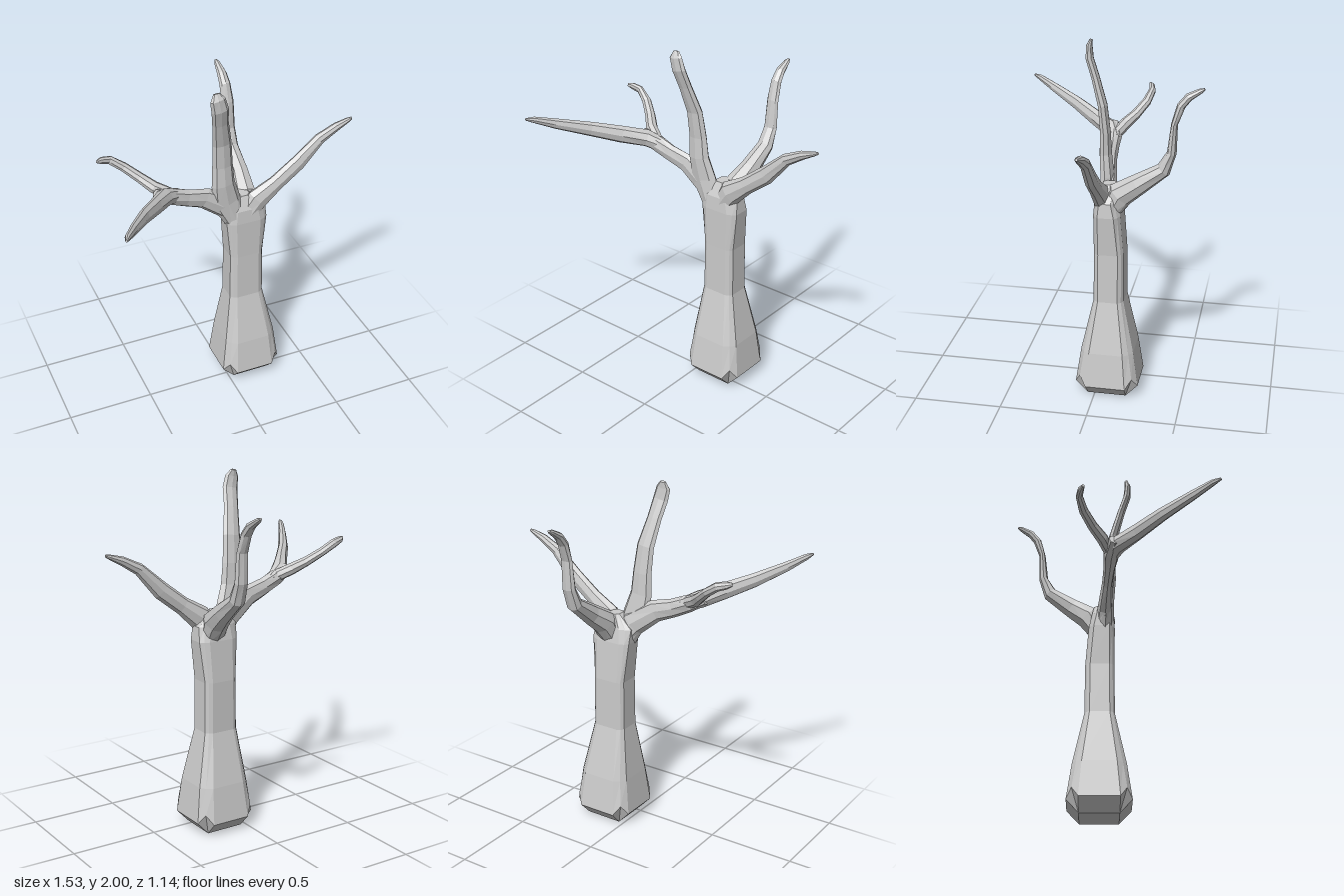
import * as THREE from 'three';

const material = new THREE.MeshStandardMaterial({ color: 0xcccccc, flatShading: true });

// Skin a list of rings (arrays of Vector3, counter-clockwise about the path) and close both ends
function skin(name, rings) {
  const pos = [];
  const tri = (...pts) => pts.forEach((p) => pos.push(p.x, p.y, p.z));
  const n = rings[0].length;
  for (let i = 0; i < rings.length - 1; i++) {
    for (let j = 0; j < n; j++) {
      const k = (j + 1) % n;
      const [a, b, c, d] = [rings[i][j], rings[i][k], rings[i + 1][k], rings[i + 1][j]];
      tri(a, b, c);
      tri(a, c, d);
    }
  }
  const centre = (ring) => ring.reduce((s, p) => s.add(p), new THREE.Vector3()).divideScalar(n);
  const first = rings[0], last = rings[rings.length - 1];
  const c0 = centre(first), c1 = centre(last);
  for (let j = 0; j < n; j++) {
    const k = (j + 1) % n;
    tri(c0, first[k], first[j]);
    tri(c1, last[j], last[k]);
  }
  const geometry = new THREE.BufferGeometry();
  geometry.setAttribute('position', new THREE.Float32BufferAttribute(pos, 3));
  geometry.computeVertexNormals();
  const mesh = new THREE.Mesh(geometry, material);
  mesh.name = name;
  return mesh;
}

// Tapering limb; each station is [x, y, z, half-width along side, half-depth across it]
function limb(name, side, stations, sides = 8) {
  const pts = stations.map((s) => new THREE.Vector3(s[0], s[1], s[2]));
  const rings = stations.map(([, , , a, b], i) => {
    const t = pts[Math.min(i + 1, pts.length - 1)].clone().sub(pts[Math.max(i - 1, 0)]).normalize();
    const u = new THREE.Vector3(...side);
    u.addScaledVector(t, -u.dot(t)).normalize();
    const v = t.clone().cross(u);
    return Array.from({ length: sides }, (_, j) => {
      const w = (j / sides) * Math.PI * 2;
      return pts[i].clone().addScaledVector(u, a * Math.cos(w)).addScaledVector(v, b * Math.sin(w));
    });
  });
  return skin(name, rings);
}

// Square trunk ring with bevelled corners: flat = half-length of each flat, corner = bevel midpoint
function trunkRing([x, y, z, hx, hz, flat, corner, lift]) {
  const ring = [];
  for (let q = 0; q < 4; q++) {
    for (const [p, r, dy] of [[1, -flat, 0], [1, flat, 0], [corner, corner, lift]]) {
      const c = Math.round(Math.cos((q * Math.PI) / 2)), s = Math.round(Math.sin((q * Math.PI) / 2));
      ring.push(new THREE.Vector3(x + (p * c - r * s) * hx, y + dy, z - (p * s + r * c) * hz));
    }
  }
  return ring;
}

export function createModel() {
  const group = new THREE.Group();
  group.name = 'bareTree';

  // Trunk: undercut foot, swollen base, narrow waist, flared crown
  group.add(skin('trunk', [
    [0.14, 0, -0.07, 0.11, 0.11, 0.999, 1, 0],
    [0.14, 0.075, -0.07, 0.18, 0.18, 0.63, 0.83, 0.055],
    [0.14, 0.28, -0.07, 0.155, 0.15, 0.64, 0.85, 0],
    [0.13, 0.58, -0.07, 0.103, 0.085, 0.66, 0.87, 0],
    [0.13, 0.87, -0.07, 0.1, 0.083, 0.66, 0.87, 0],
    [0.13, 1.1, -0.06, 0.122, 0.075, 0.6, 0.83, 0],
    [0.125, 1.18, -0.055, 0.12, 0.065, 0.5, 0.77, 0],
    [0.12, 1.26, -0.065, 0.035, 0.04, 0.5, 0.75, 0],
  ].map(trunkRing)));

  // Right limb, which forks into a long forward branch and a short rear one
  group.add(limb('rightLimb', [0, 0, 1], [
    [0.1, 1.1, -0.05, 0.055, 0.07],
    [0.02, 1.21, -0.04, 0.045, 0.075],
    [-0.12, 1.305, -0.03, 0.03, 0.062],
    [-0.23, 1.34, -0.02, 0.033, 0.052],
    [-0.32, 1.38, -0.01, 0.045, 0.048],
    [-0.41, 1.42, 0.01, 0.035, 0.035],
  ]));
  group.add(limb('rightFrontBranch', [1, 0, 0.6], [
    [-0.28, 1.37, -0.02, 0.03, 0.04],
    [-0.37, 1.405, 0.02, 0.052, 0.05],
    [-0.46, 1.44, 0.13, 0.036, 0.05],
    [-0.57, 1.485, 0.26, 0.03, 0.042],
    [-0.68, 1.54, 0.42, 0.022, 0.03],
    [-0.745, 1.58, 0.525, 0.016, 0.018],
    [-0.765, 1.59, 0.565, 0.006, 0.007],
  ]));
  group.add(limb('rightRearBranch', [0.5, 0, -0.9], [
    [-0.32, 1.39, -0.02, 0.03, 0.035],
    [-0.4, 1.43, -0.06, 0.034, 0.034],
    [-0.46, 1.475, -0.115, 0.03, 0.028],
    [-0.53, 1.53, -0.165, 0.027, 0.025],
    [-0.6, 1.578, -0.188, 0.019, 0.025],
    [-0.65, 1.592, -0.178, 0.017, 0.02],
    [-0.675, 1.598, -0.166, 0.008, 0.01],
  ]));

  // Tall upright limb
  group.add(limb('uprightLimb', [1, 0, 0], [
    [0.07, 1.1, -0.04, 0.06, 0.05],
    [0.01, 1.25, -0.03, 0.085, 0.04],
    [-0.015, 1.38, -0.015, 0.068, 0.035],
    [-0.02, 1.5, -0.012, 0.06, 0.03],
    [-0.03, 1.65, 0.005, 0.055, 0.026],
    [-0.057, 1.8, 0.05, 0.046, 0.022],
    [-0.073, 1.9, 0.085, 0.048, 0.021],
    [-0.088, 1.965, 0.09, 0.043, 0.018],
    [-0.092, 2.0, 0.08, 0.018, 0.009],
  ]));

  // Rear limb, sweeping back, then up, then back again
  group.add(limb('rearLimb', [1, 0, 0], [
    [0.15, 1.1, -0.07, 0.07, 0.05],
    [0.16, 1.215, -0.13, 0.07, 0.075],
    [0.175, 1.285, -0.23, 0.056, 0.06],
    [0.18, 1.38, -0.365, 0.047, 0.042],
    [0.183, 1.48, -0.407, 0.042, 0.026],
    [0.185, 1.64, -0.418, 0.037, 0.018],
    [0.182, 1.74, -0.45, 0.033, 0.023],
    [0.18, 1.79, -0.49, 0.028, 0.022],
    [0.178, 1.825, -0.55, 0.018, 0.014],
    [0.177, 1.835, -0.57, 0.008, 0.006],
  ]));

  // Left limb
  group.add(limb('leftLimb', [0, 0, 1], [
    [0.13, 1.12, -0.04, 0.05, 0.06],
    [0.2, 1.22, -0.025, 0.045, 0.07],
    [0.31, 1.3, -0.02, 0.036, 0.05],
    [0.44, 1.4, -0.018, 0.032, 0.05],
    [0.57, 1.53, -0.015, 0.028, 0.033],
    [0.67, 1.585, -0.012, 0.024, 0.024],
    [0.74, 1.612, -0.012, 0.015, 0.013],
    [0.762, 1.62, -0.012, 0.007, 0.007],
  ]));

  return group;
}
